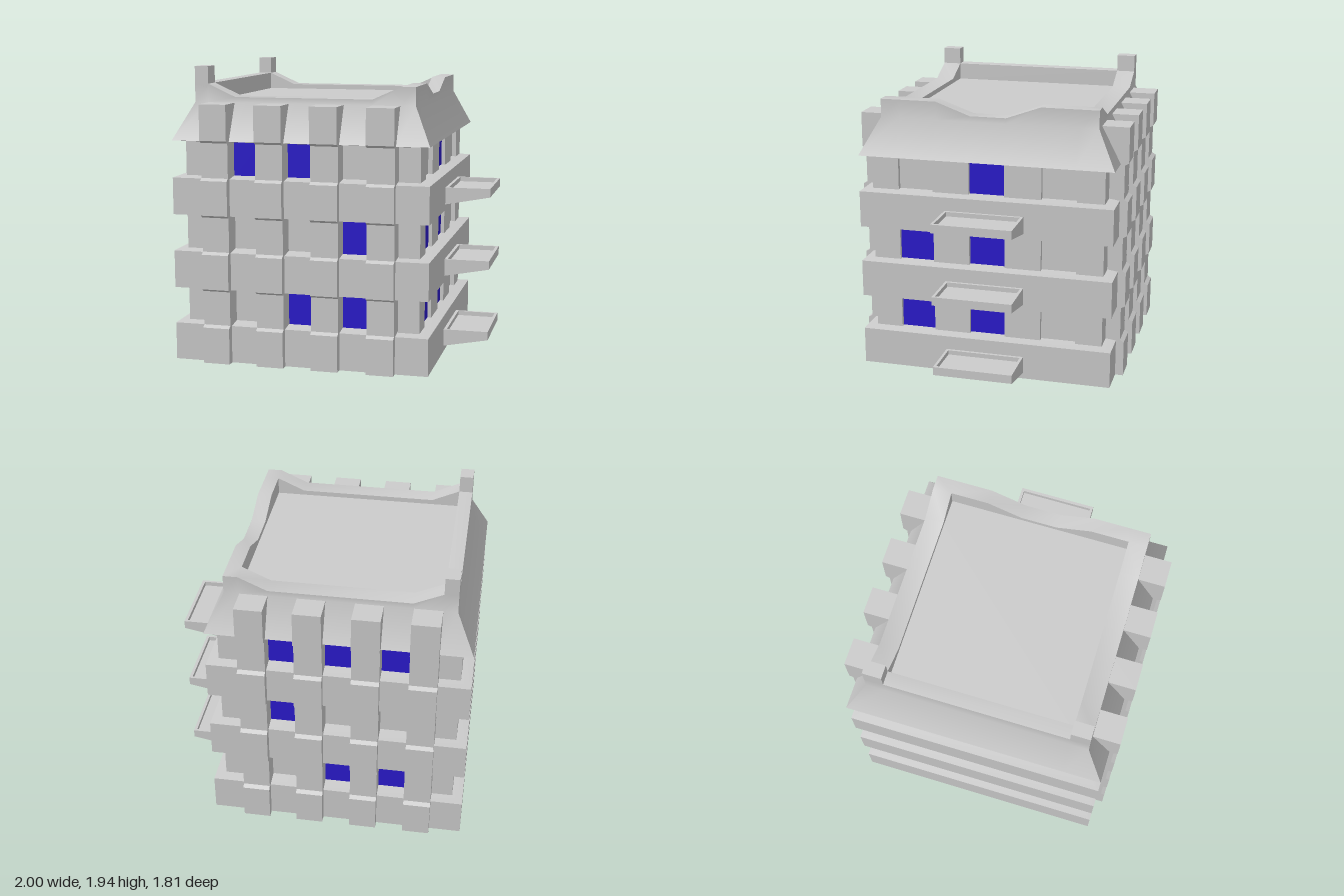
import * as THREE from 'three';
import { toCreasedNormals } from 'three/addons/utils/BufferGeometryUtils.js';

const grey = new THREE.MeshStandardMaterial({ color: 0xcccccc });
const blue = new THREE.MeshStandardMaterial({ color: 0x2a1acc });

// Closed skin through rings of points (each counter-clockwise from above), capped at both ends
function skin(rings) {
  const n = rings[0].length, last = (rings.length - 1) * n, index = [];
  for (let i = 0; i < rings.length - 1; i++) {
    for (let j = 0; j < n; j++) {
      const a = i * n + j, b = i * n + (j + 1) % n;
      index.push(a, b, b + n, a, b + n, a + n);
    }
  }
  for (let j = 1; j < n - 1; j++) {
    index.push(0, j + 1, j, last, last + j, last + j + 1);
  }
  const g = new THREE.BufferGeometry();
  g.setAttribute('position', new THREE.Float32BufferAttribute(rings.flat(2), 3));
  g.setIndex(index);
  return toCreasedNormals(g, 0.5);
}

const rect = (y, x0, x1, z0, z1) => [[x0, y, z1], [x1, y, z1], [x1, y, z0], [x0, y, z0]];

export function createModel() {
  const model = new THREE.Group();
  const add = (name, geometry, material = grey, parent = model) => {
    const mesh = new THREE.Mesh(geometry, material);
    mesh.name = name;
    parent.add(mesh);
    return mesh;
  };
  const box = (name, x0, x1, y0, y1, z0, z1, material) =>
    add(name, new THREE.BoxGeometry(x1 - x0, y1 - y0, z1 - z0), material)
      .position.set((x0 + x1) / 2, (y0 + y1) / 2, (z0 + z1) / 2);

  // Lower and upper edge of each recessed storey
  const storeys = [[0.247, 0.488], [0.735, 0.977], [1.22, 1.463]];

  // Body: wide bands with recessed storeys between them
  const full = y => rect(y, -1, 0.7, -0.85, 0.85);
  const inset = y => rect(y, -0.9, 0.6, -0.75, 0.75);
  const body = [full(0)];
  for (const [a, b] of storeys) body.push(full(a), inset(a + 0.014), inset(b - 0.014), full(b));
  add('body', skin(body));

  // Columns on front and back, slightly thinner beside the storeys
  const columnX = [-0.7, -0.335, 0.03, 0.395];
  const column = (x, s) => {
    const at = (y, z) => rect(y, x - 0.09, x + 0.09, Math.min(s * 0.7, s * z), Math.max(s * 0.7, s * z));
    const rings = [at(0, 0.903)];
    for (const [a, b] of storeys) {
      rings.push(at(a - 0.008, 0.903), at(a + 0.008, 0.877), at(b - 0.008, 0.877), at(b + 0.008, 0.903));
    }
    rings.push(at(1.705, 0.903));
    return skin(rings);
  };
  for (const s of [1, -1]) for (const x of columnX) add('column', column(x, s));

  // Piers between the windows
  for (const [a, b] of storeys) {
    const y0 = a + 0.005, y1 = b - 0.005;
    for (const s of [1, -1]) {
      const corner = s > 0 ? [0.6, 0.78] : [-0.78, -0.6];
      const middle = s > 0 ? [0.12, 0.365] : [-0.365, -0.12];
      box('cornerPier', 0.49, 0.63, y0, y1, ...corner);
      box('cornerPier', -0.93, -0.79, y0, y1, ...corner);
      box('sidePier', 0.55, 0.63, y0, y1, ...middle);
      box('sidePier', -0.93, -0.85, y0, y1, ...middle);
    }
  }

  // Coloured windows, listed per storey by their centre along the wall
  const windows = {
    front: [[-0.152, 0.213], [0.213], [-0.517, -0.152]],
    back: [[-0.517, -0.152], [0.213], [-0.517, -0.152, 0.213]],
    right: [[0.485, 0], [0.485, 0], [0]],
    left: [[-0.485, 0], [-0.485], [0]],
  };
  storeys.forEach(([a, b], i) => {
    const y0 = a + 0.01, y1 = b - 0.01;
    for (const x of windows.front[i]) box('frontWindow', x - 0.092, x + 0.092, y0, y1, 0.74, 0.756, blue);
    for (const x of windows.back[i]) box('backWindow', x - 0.092, x + 0.092, y0, y1, -0.756, -0.74, blue);
    for (const z of windows.right[i]) box('rightWindow', 0.59, 0.606, y0, y1, z - 0.119, z + 0.119, blue);
    for (const z of windows.left[i]) box('leftWindow', -0.906, -0.89, y0, y1, z - 0.119, z + 0.119, blue);
  });

  // Roof: flared eaves, parapet dipping on three sides, sunken floor
  const hi = 1.825, lo = 1.742;
  const alongX = [[-0.88, hi], [-0.79, hi], [-0.605, lo], [0.305, lo], [0.49, hi]];
  const alongZ = [[0.725, hi], [0.6, hi], [0.35, hi], [0.12, lo], [-0.12, lo], [-0.35, hi], [-0.6, hi]];
  const rim = [
    ...alongX.map(([x, h]) => [x, h, 0.725]),
    ...alongZ.map(([z, h]) => [0.585, h, z]),
    [0.585, hi, -0.725],
    ...alongX.slice(1).reverse().map(([x, h]) => [x, h, -0.725]),
    [-0.88, hi, -0.725], [-0.88, hi, -0.6], [-0.88, hi, 0.6],
  ];
  const eave = ([x, , z]) => [
    x === -0.88 ? -1 : x === 0.585 ? 0.7 : x, 1.463,
    Math.abs(z) === 0.725 ? Math.sign(z) * 0.85 : z];
  const inner = ([x, h, z], y = h) =>
    [THREE.MathUtils.clamp(x, -0.79, 0.49), y, THREE.MathUtils.clamp(z, -0.6, 0.6)];
  add('roof', skin([
    rim.map(eave),
    rim.map(([x, , z]) => [x, 1.705, z]),
    rim,
    rim.map(p => inner(p)),
    rim.map(p => inner(p, 1.71)),
  ]));

  // Corner posts on the left edge of the roof
  box('roofPost', -0.88, -0.79, 1.8, 1.938, 0.6, 0.725);
  box('roofPost', -0.88, -0.79, 1.8, 1.938, -0.725, -0.6);

  // Balconies: wedge-shaped slab with a raised rim
  const wedge = new THREE.Shape([[0.69, -0.117], [0.7, -0.115], [1, -0.057], [1, -0.03], [0.69, -0.03]]
    .map(p => new THREE.Vector2(...p)));
  const slab = new THREE.ExtrudeGeometry(wedge, { depth: 0.53, bevelEnabled: false }).translate(0, 0, -0.265);
  const outline = (x0, x1, z) => [[x0, -z], [x1, -z], [x1, z], [x0, z]].map(p => new THREE.Vector2(...p));
  const frame = new THREE.Shape(outline(0.7, 1, 0.265));
  frame.holes.push(new THREE.Path(outline(0.72, 0.98, 0.247)));
  const rail = new THREE.ExtrudeGeometry(frame, { depth: 0.03, bevelEnabled: false })
    .rotateX(-Math.PI / 2).translate(0, -0.03, 0);
  for (const y of [0.155, 0.642, 1.13]) {
    const balcony = new THREE.Group();
    balcony.name = 'balcony';
    balcony.position.y = y;
    add('balconySlab', slab, grey, balcony);
    add('balconyRim', rail, grey, balcony);
    model.add(balcony);
  }
  return model;
}
